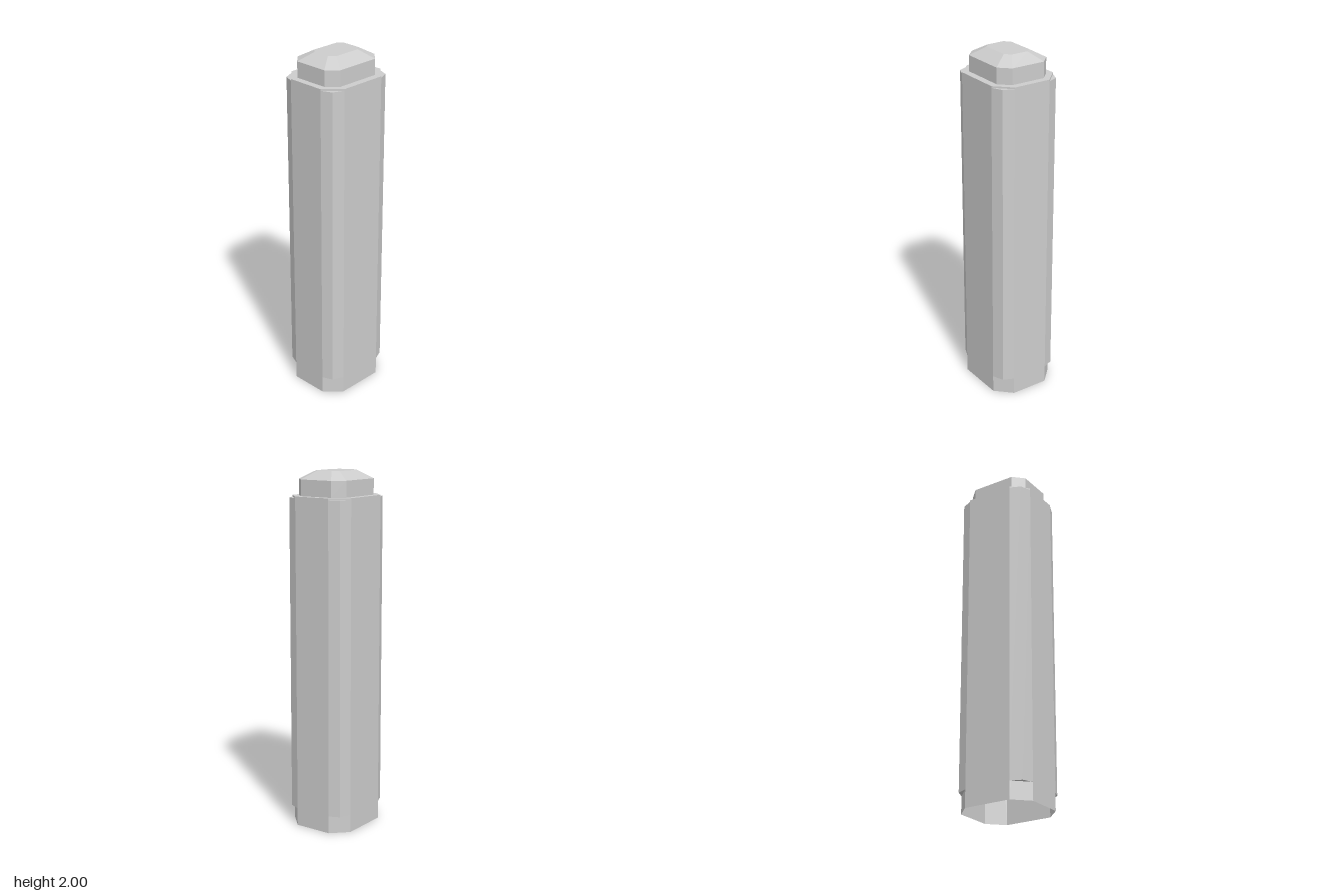
import * as THREE from 'three';

// Flat-faced loft through rings of [x, z] points: sections = [{ y, ring }, ...]
function loft(sections, { closed = true, bottom = false } = {}) {
  const pos = [];
  const at = (s, i) => [s.ring[i % s.ring.length][0], s.y, s.ring[i % s.ring.length][1]];
  const tri = (a, b, c) => pos.push(...a, ...b, ...c);
  const n = sections[0].ring.length;
  for (let k = 0; k < sections.length - 1; k++) {
    const lo = sections[k], hi = sections[k + 1];
    for (let i = 0; i < (closed ? n : n - 1); i++) {
      tri(at(lo, i), at(hi, i), at(lo, i + 1));
      tri(at(lo, i + 1), at(hi, i), at(hi, i + 1));
    }
  }
  const first = sections[0], last = sections[sections.length - 1];
  for (let i = 1; i < n - 1; i++) {
    tri(at(last, 0), at(last, i + 1), at(last, i));
    if (bottom) tri(at(first, 0), at(first, i), at(first, i + 1));
  }
  const g = new THREE.BufferGeometry();
  g.setAttribute('position', new THREE.Float32BufferAttribute(pos, 3));
  g.computeVertexNormals();
  return g;
}

// Rectangle with cut corners, running from +x towards +z
function octagon(x, z, cut) {
  const a = x - cut, b = z - cut;
  return [[x, -b], [x, b], [a, z], [-a, z], [-x, b], [-x, -b], [-a, -z], [a, -z]];
}

export function createModel() {
  const model = new THREE.Group();
  model.name = 'pillar';
  const grey = new THREE.MeshStandardMaterial({ color: 0xcccccc, side: THREE.DoubleSide });
  grey.name = 'light grey';

  const add = (name, geometry) => {
    const mesh = new THREE.Mesh(geometry, grey);
    mesh.name = name;
    model.add(mesh);
  };

  // Hollow shaft, open underneath
  const shaft = octagon(0.225, 0.197, 0.087);
  add('shaft', loft([{ y: 0, ring: shaft }, { y: 1.866, ring: shaft }]));

  // Stepped cap with a bevelled top
  const cap = octagon(0.187, 0.158, 0.058);
  add('cap', loft([
    { y: 1.866, ring: cap },
    { y: 1.955, ring: cap },
    { y: 2, ring: octagon(0.11, 0.079, 0.03) },
  ]));

  // Two-sided strips over the four cut corners
  for (const sx of [1, -1]) for (const sz of [1, -1]) {
    const ring = [[0.225, 0.11], [0.2, 0.17], [0.138, 0.197]].map(([x, z]) => [sx * x, sz * z]);
    if (sx * sz < 0) ring.reverse();
    add('cornerStrip', loft([{ y: 0.1, ring }, { y: 1.857, ring }], { closed: false, bottom: true }));
  }
  return model;
}
